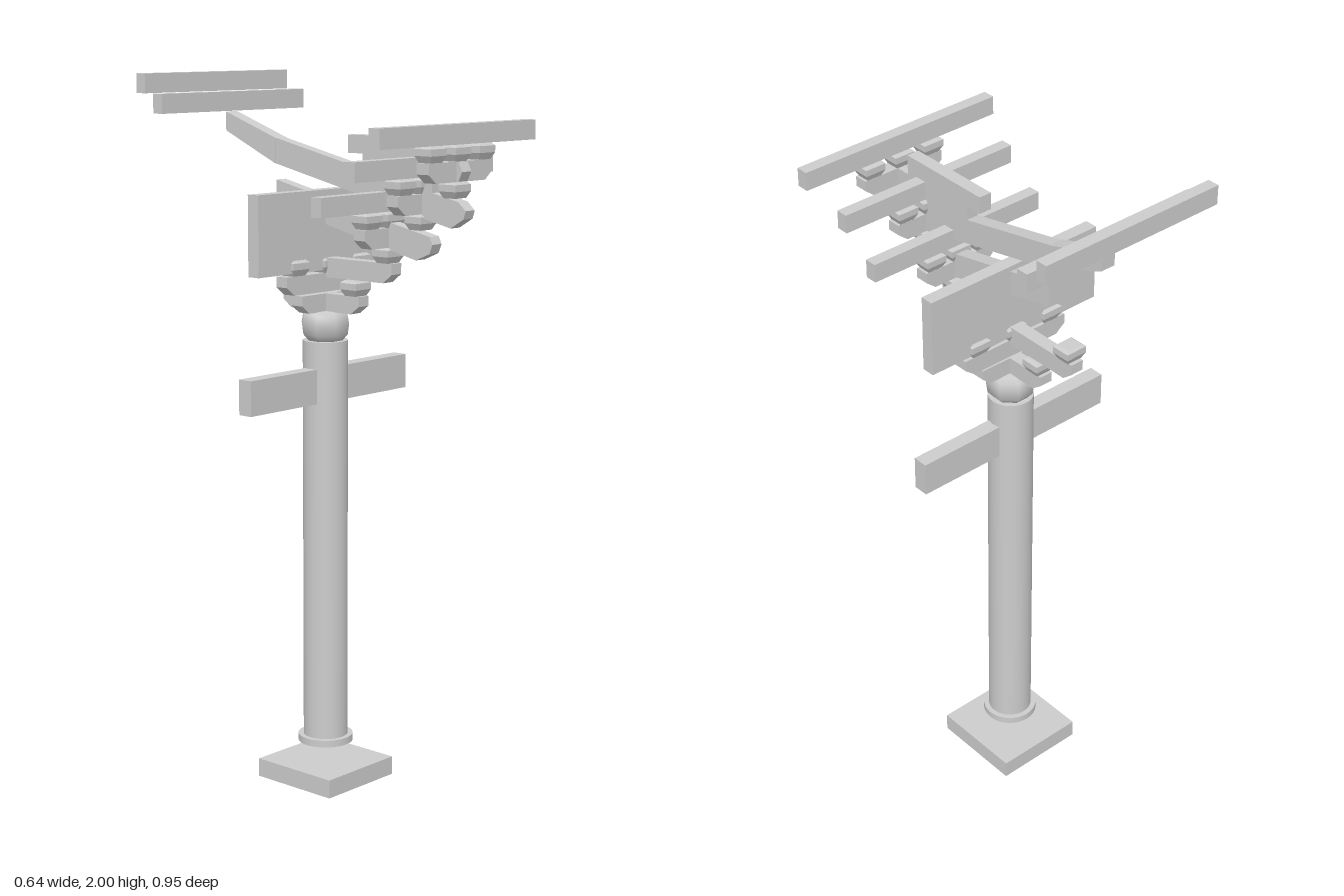
import * as THREE from 'three';

const AXIS = -0.033; // z of the column axis

export function createModel() {
  const model = new THREE.Group();
  model.name = 'bracketedColumn';
  const stone = new THREE.MeshStandardMaterial({ color: 0xcccccc });
  stone.name = 'pale grey';

  const add = (name, geometry, x = 0, y = 0, z = 0) => {
    const mesh = new THREE.Mesh(geometry, stone);
    mesh.name = name;
    mesh.position.set(x, y, z);
    model.add(mesh);
    return mesh;
  };
  // Box given by its half length in x, its y range and its z range
  const beam = (name, hx, y0, y1, z0, z1) =>
    add(name, new THREE.BoxGeometry(hx * 2, y1 - y0, z1 - z0), 0, (y0 + y1) / 2, (z0 + z1) / 2);

  // Flat outline, extruded about its own middle plane
  const slab = (points, width) => {
    const shape = new THREE.Shape(points.map(p => new THREE.Vector2(...p)));
    return new THREE.ExtrudeGeometry(shape, { depth: width, bevelEnabled: false }).translate(0, 0, -width / 2);
  };
  // Outline in (z, y), running front to back
  const sideSlab = (name, points, width) => add(name, slab(points, width).rotateY(-Math.PI / 2));
  // Bracket arm with its lower corners cut off
  const armOutline = (h, y0, y1) => {
    const m = y0 + (y1 - y0) * 0.45;
    return [[-h + 0.03, y0], [h - 0.03, y0], [h, m], [h, y1], [-h, y1], [-h, m]];
  };
  const crossArm = (h, y0, y1, z) => add('crossArm', slab(armOutline(h, y0, y1), 0.04), 0, 0, z);
  const longArm = (h, y0, y1) => {
    const arm = add('longArm', slab(armOutline(h, y0, y1), 0.04).rotateY(-Math.PI / 2));
    arm.position.z = AXIS;
  };

  // Small bearing block: square top, tapering foot
  const blockProfile = [[0, 0], [0.021, 0], [0.03, 0.018], [0.03, 0.036], [0.022, 0.043], [0, 0.043]]
    .map(([r, y]) => new THREE.Vector2(r * Math.SQRT2, y));
  const blockGeometry = new THREE.LatheGeometry(blockProfile, 4, Math.PI / 4).toNonIndexed();
  blockGeometry.computeVertexNormals();
  const block = (x, y, z) => {
    add('bearingBlock', blockGeometry, x, y, z).scale.set(1.08, 1, 0.93);
  };

  // Plinth, collar and shaft
  beam('plinth', 0.135, 0, 0.053, AXIS - 0.137, AXIS + 0.137);
  add('collar', new THREE.CylinderGeometry(0.078, 0.078, 0.02, 40), 0, 0.12, AXIS);
  add('shaft', new THREE.CylinderGeometry(0.063, 0.063, 1.145, 40), 0, 0.7, AXIS);
  beam('tieBeam', 0.32, 1.1, 1.197, AXIS - 0.022, AXIS + 0.022);

  // Main octagonal bearing block
  const capital = [[0, 1.272], [0.05, 1.272], [0.066, 1.29], [0.07, 1.32], [0.066, 1.343], [0.055, 1.356], [0, 1.356]]
    .map(([r, y]) => new THREE.Vector2(r, y));
  add('capitalBlock', new THREE.LatheGeometry(capital, 8, Math.PI / 8), 0, 0, AXIS);

  // Crossed arms on the column
  longArm(0.141, 1.355, 1.405);
  crossArm(0.115, 1.355, 1.405, AXIS);
  longArm(0.258, 1.45, 1.504);
  crossArm(0.175, 1.41, 1.462, AXIS);
  for (const s of [-1, 1]) {
    block(0, 1.405, AXIS + s * 0.112);
    block(0, 1.504, AXIS + s * 0.228);
    block(s * 0.125, 1.462, AXIS);
  }
  block(0, 1.46, AXIS);

  // Wall panel above the column
  beam('wallPanel', 0.284, 1.47, 1.69, AXIS - 0.019, AXIS + 0.019);

  // Three stepped tiers: bearing block, arm, three blocks, beam
  const tiers = [
    { z: 0.194, y: 1.504, arm: 0.115, spread: 0.084, half: 0.284 },
    { z: 0.308, y: 1.6, arm: 0.115, spread: 0.084, half: 0.284 },
    { z: 0.423, y: 1.69, arm: 0.131, spread: 0.1, half: 0.32 },
  ];
  for (const { z, y, arm, spread, half } of tiers) {
    block(0, y, z);
    crossArm(arm, y + 0.043, y + 0.096, z);
    for (const s of [-1, 0, 1]) block(s * spread, y + 0.096, z);
    beam('eaveBeam', half, y + 0.139, y + 0.192, z - 0.018, z + 0.018);
  }

  // Slanting lever arms
  sideSlab('lowerLever', [[0.365, 1.565], [0.355, 1.54], [0.308, 1.52], [-0.2, 1.64], [-0.2, 1.708], [0.17, 1.625], [0.355, 1.585]], 0.038);
  sideSlab('upperLever', [[0.475, 1.66], [0.468, 1.638], [0.425, 1.612], [-0.2, 1.752], [-0.2, 1.823], [0.12, 1.752], [0.45, 1.682]], 0.038);
  sideSlab('leverTail', [[-0.2, 1.752], [-0.392, 1.837], [-0.392, 1.89], [-0.2, 1.823]], 0.044);

  // Head piece over the levers
  sideSlab('headPiece', [[0.362, 1.70], [0.12, 1.75], [0.12, 1.793], [0.068, 1.793], [0.068, 1.842], [0.362, 1.842]], 0.038);
  sideSlab('headNose', [[0.362, 1.735], [0.45, 1.735], [0.462, 1.76], [0.45, 1.785], [0.362, 1.785]], 0.038);

  // Purlins at the back
  beam('rearPurlin', 0.284, 1.892, 1.946, -0.412, -0.377);
  beam('rearPurlin', 0.284, 1.946, 2, -0.478, -0.444);

  return model;
}
